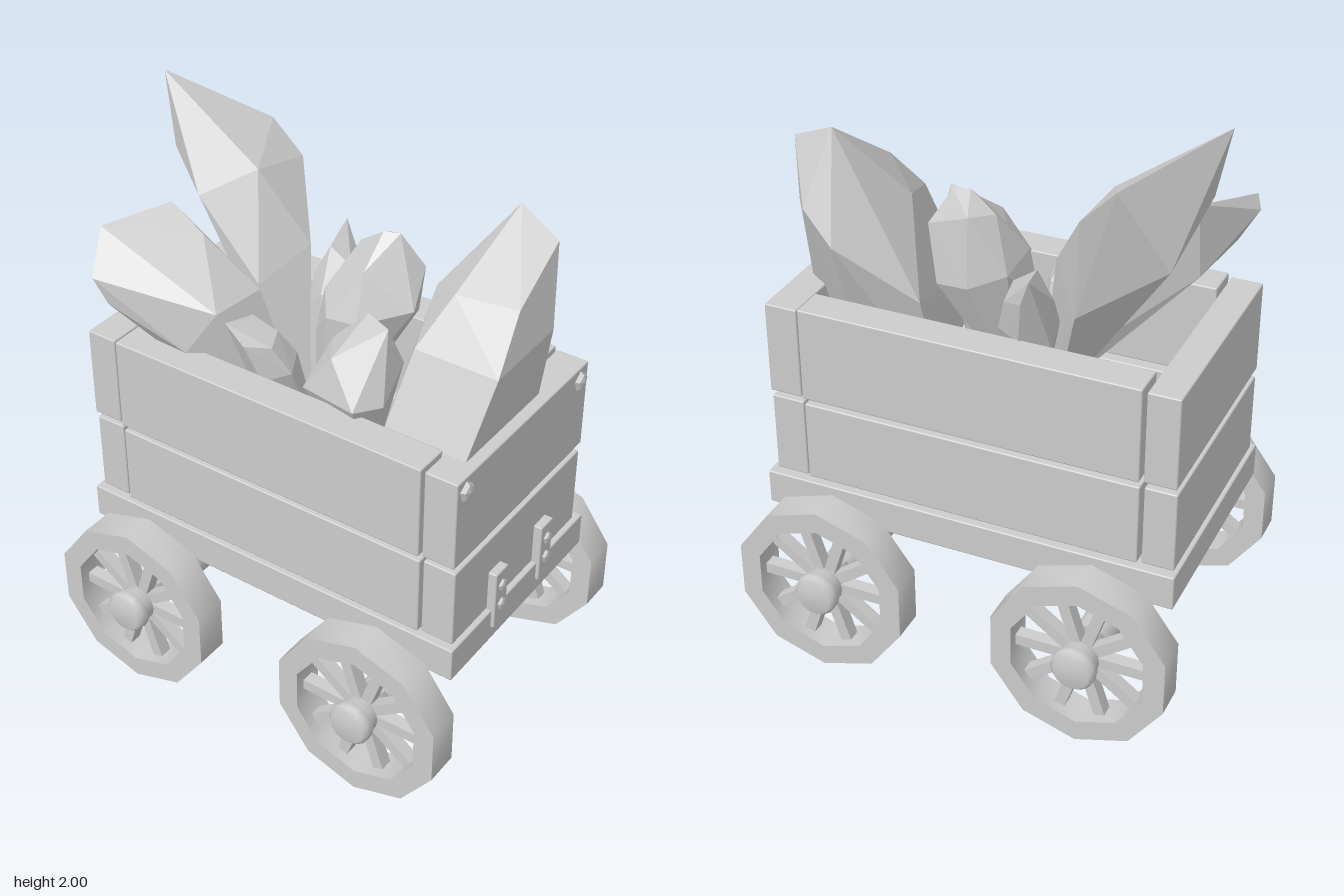
import * as THREE from 'three';
import { toCreasedNormals } from 'three/addons/utils/BufferGeometryUtils.js';
import { RoundedBoxGeometry } from 'three/addons/geometries/RoundedBoxGeometry.js';
import { ConvexGeometry } from 'three/addons/geometries/ConvexGeometry.js';

const smooth = new THREE.MeshStandardMaterial({ color: 0xcccccc });
const flat = new THREE.MeshStandardMaterial({ color: 0xcccccc, flatShading: true });

function add(parent, name, geometry, material = smooth) {
  const mesh = new THREE.Mesh(geometry, material);
  mesh.name = name;
  parent.add(mesh);
  return mesh;
}

// Plank with softened edges, given by its limits on each axis
function plank(parent, name, [x0, x1], [y0, y1], [z0, z1]) {
  const mesh = add(parent, name, new RoundedBoxGeometry(x1 - x0, y1 - y0, z1 - z0, 1, 0.005));
  mesh.position.set((x0 + x1) / 2, (y0 + y1) / 2, (z0 + z1) / 2);
}

// Ten corners of a wheel outline, one of them at the top
function decagon(radius) {
  return Array.from({ length: 10 }, (_, i) => {
    const a = Math.PI / 2 + (i * Math.PI) / 5;
    return new THREE.Vector2(radius * Math.cos(a), radius * Math.sin(a));
  });
}

function makeWheel() {
  const wheel = new THREE.Group();
  wheel.name = 'wheel';
  const shape = new THREE.Shape(decagon(0.311));
  shape.holes.push(new THREE.Path(decagon(0.236)));
  const rim = new THREE.ExtrudeGeometry(shape, { depth: 0.118, bevelEnabled: false });
  add(wheel, 'rim', toCreasedNormals(rim.translate(0, 0, -0.059), 0.9));
  for (let i = 0; i < 10; i++) {
    const spoke = add(wheel, 'spoke', new THREE.BoxGeometry(0.19, 0.038, 0.045).translate(0.145, 0, 0));
    spoke.rotation.z = (i * Math.PI) / 5;
  }
  // Hub with a chamfered outer cap
  const profile = [[0, -0.06], [0.065, -0.06], [0.065, 0.055], [0.075, 0.06], [0.075, 0.088], [0.06, 0.105], [0, 0.107]]
    .map(([r, h]) => new THREE.Vector2(r, h));
  add(wheel, 'hub', new THREE.LatheGeometry(profile, 16).rotateX(Math.PI / 2));
  return wheel;
}

function stud(parent, y, z, x, r) {
  const mesh = add(parent, 'stud', new THREE.SphereGeometry(r, 5, 4).rotateZ(-Math.PI / 2), flat);
  mesh.scale.x = 0.6;
  mesh.position.set(x, y, z);
}

function hull(parent, points) {
  add(parent, 'crystal', new ConvexGeometry(points.map((p) => new THREE.Vector3(...p))), flat);
}

// Crystal grown from a narrow foot through two uneven six-sided rings to a tip
function crystal(parent, foot, low, lowR, high, highR, tip, roll) {
  const axis = new THREE.Vector3(...tip).sub(new THREE.Vector3(...foot)).normalize();
  const turn = new THREE.Quaternion().setFromUnitVectors(new THREE.Vector3(0, 1, 0), axis);
  const points = [tip];
  [[foot, 0.04], [low, lowR], [high, highR]].forEach(([c, radius], k) => {
    for (let i = 0; i < 6; i++) {
      const a = roll + (i * Math.PI) / 3;
      const r = radius * (1 + 0.08 * Math.sin(i * 2.3 + k));
      const p = new THREE.Vector3(r * Math.cos(a), 0.03 * k * Math.sin(i * 1.9), r * Math.sin(a));
      points.push(p.applyQuaternion(turn).add(new THREE.Vector3(...c)).toArray());
    }
  });
  hull(parent, points);
}

export function createModel() {
  const cart = new THREE.Group();
  cart.name = 'crystalCart';

  // Base frame and floor
  const base = new THREE.Group();
  base.name = 'base';
  cart.add(base);
  for (const s of [-1, 1]) {
    plank(base, 'sideRail', [-0.72, 0.72], [0.508, 0.63], s > 0 ? [0.37, 0.41] : [-0.41, -0.37]);
    plank(base, 'endRail', s > 0 ? [0.68, 0.72] : [-0.72, -0.68], [0.508, 0.63], [-0.41, 0.41]);
  }
  plank(base, 'floor', [-0.69, 0.69], [0.575, 0.63], [-0.38, 0.38]);

  // Two tiers of planks round the box
  const box = new THREE.Group();
  box.name = 'box';
  cart.add(box);
  for (const [y0, y1, drop, grow] of [[0.63, 0.915, 0, 0], [0.94, 1.27, 0.008, 0.01]]) {
    plank(box, 'frontPlank', [-0.585, 0.58], [y0, y1], [0.28, 0.392 + grow]);
    plank(box, 'backPlank', [-0.585, 0.58], [y0, y1], [-0.382 - grow, -0.27]);
    plank(box, 'leftEndPlank', [0.587, 0.702], [y0, y1 - drop], [-0.375 - grow, 0.382 + grow]);
    plank(box, 'rightEndPlank', [-0.706, -0.597], [y0, y1 - drop], [-0.375 - grow, 0.382 + grow]);
  }

  // Metal straps and studs on one end
  for (const z of [0.142, -0.138]) {
    plank(box, 'strap', [0.69, 0.732], [0.56, 0.78], [z - 0.036, z + 0.036]);
    for (const y of [0.645, 0.722]) stud(box, y, z, 0.73, 0.024);
  }
  for (const z of [0.345, -0.335]) stud(box, 1.215, z, 0.7, 0.036);

  // Axles and wheels
  for (const x of [-0.46, 0.46]) {
    const axle = add(cart, 'axle', new THREE.CylinderGeometry(0.065, 0.065, 0.92, 12).rotateX(Math.PI / 2));
    axle.position.set(x, 0.315, 0);
    for (const s of [-1, 1]) {
      const wheel = makeWheel();
      wheel.position.set(x, 0.315, s * 0.502);
      if (s < 0) wheel.rotation.y = Math.PI;
      cart.add(wheel);
    }
  }

  // Crystals
  const gems = new THREE.Group();
  gems.name = 'crystals';
  cart.add(gems);
  // tall leaning crystal
  hull(gems, [
    [-0.715, 2, -0.07], [-0.66, 1.76, -0.04], [-0.52, 1.87, -0.16], [-0.44, 1.83, -0.27],
    [-0.33, 1.72, -0.28], [-0.5, 1.67, 0.05], [-0.36, 1.75, -0.08], [-0.2, 1.5, -0.14],
    [-0.27, 1.42, 0.05], [-0.58, 1.55, -0.17], [-0.3, 1.36, -0.23],
    [-0.08, 0.92, 0.04], [-0.16, 0.92, -0.03],
  ]);
  // blunt crystal at the front corner
  hull(gems, [
    [-0.69, 1.62, 0.31], [-0.65, 1.49, 0.41], [-0.705, 1.57, 0.3], [-0.57, 1.65, 0.1],
    [-0.44, 1.58, 0.11], [-0.61, 1.4, 0.39], [-0.57, 1.38, 0.14], [-0.27, 1.42, 0.27],
    [-0.36, 1.27, 0.32], [-0.25, 1.42, 0.07], [-0.06, 0.92, 0.05], [-0.16, 0.92, 0.11],
  ]);
  // broad chisel-shaped crystal
  hull(gems, [
    [0.51, 1.845, -0.23], [0.66, 1.78, -0.2], [0.7, 1.52, -0.13], [0.46, 1.5, -0.36],
    [0.57, 1.6, -0.33], [0.33, 1.58, -0.06], [0.22, 1.3, -0.24], [0.67, 1.66, 0.03],
    [0.46, 1.65, 0.05], [0.69, 1.5, 0.17], [0.4, 1.5, 0.17], [0.66, 1.25, 0.29],
    [0.37, 1.25, 0.29], [0.66, 1.25, -0.14], [0.24, 1.25, -0.05], [0.2, 0.93, -0.14],
    [0.48, 0.93, -0.14], [0.53, 0.93, 0.27], [0.32, 0.93, 0.28], [0.3, 0.86, 0.04],
  ]);
  // upright crystal in the middle
  hull(gems, [
    [0.1, 1.665, -0.11], [0.15, 1.665, -0.13], [0.01, 1.6, -0.12], [0.07, 1.61, -0.2],
    [0.22, 1.55, -0.17], [0.1, 1.57, 0], [-0.06, 1.45, -0.02], [0, 1.4, 0.06],
    [0.12, 1.42, 0.07], [0.25, 1.45, -0.06], [0.18, 1.36, -0.2], [0.06, 1.38, -0.23],
    [-0.05, 1.42, -0.17], [-0.09, 1.28, -0.01], [-0.06, 0.92, 0.03], [-0.03, 0.92, -0.04],
  ]);
  // short crystal with a ridged top
  hull(gems, [
    [0.2, 1.525, 0.12], [0.3, 1.525, 0.16], [0.08, 1.4, 0.13], [0.03, 1.28, 0.1],
    [0.06, 1.28, 0.27], [0.16, 1.42, 0.26], [0.28, 1.3, 0.32], [0.34, 1.3, 0.24],
    [0.32, 1.38, 0.1], [0.22, 1.38, 0.02], [0.16, 0.92, 0.06], [0.22, 0.92, 0.13],
  ]);
  crystal(gems, [-0.08, 0.92, -0.03], [-0.13, 1.28, -0.18], 0.1, [-0.15, 1.4, -0.23], 0.075, [-0.19, 1.51, -0.33], 0.5);
  crystal(gems, [-0.08, 0.92, 0.05], [-0.13, 1.23, 0.17], 0.09, [-0.16, 1.33, 0.21], 0.07, [-0.22, 1.42, 0.29], 0.2);

  return cart;
}
